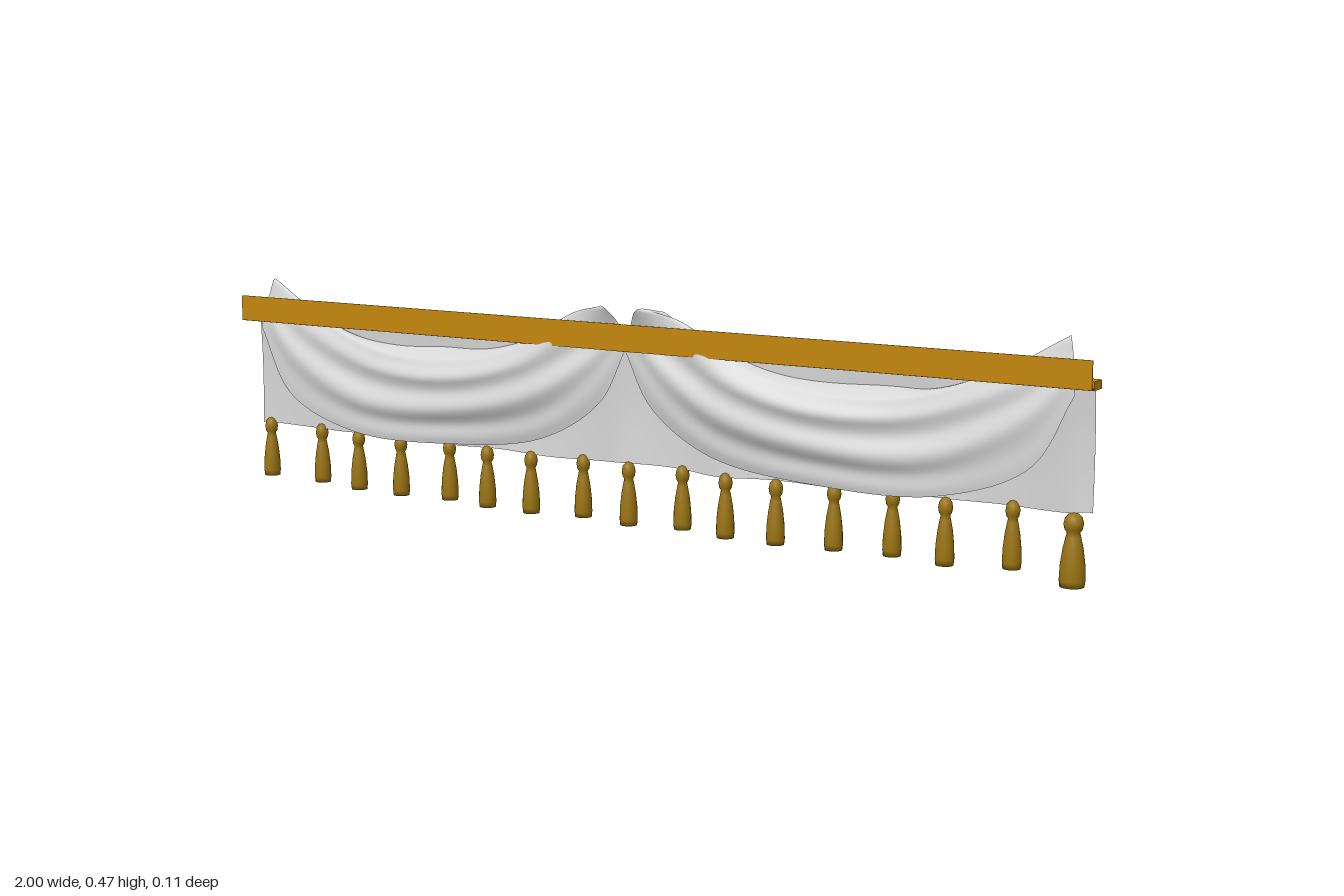
import * as THREE from 'three';

const V = (p) => new THREE.Vector3(...p);
const spline = (pts) => new THREE.CatmullRomCurve3(pts, false, 'centripetal');

// Smooth sheet from a function (u, v) -> Vector3
function sheet(nu, nv, fn) {
  const pos = [], idx = [];
  for (let j = 0; j <= nv; j++)
    for (let i = 0; i <= nu; i++) pos.push(...fn(i / nu, j / nv).toArray());
  for (let j = 0; j < nv; j++)
    for (let i = 0; i < nu; i++) {
      const a = j * (nu + 1) + i, b = a + 1, c = a + nu + 1, d = c + 1;
      idx.push(a, b, d, a, d, c);
    }
  const g = new THREE.BufferGeometry();
  g.setAttribute('position', new THREE.Float32BufferAttribute(pos, 3));
  g.setIndex(idx);
  g.computeVertexNormals();
  return g;
}

// Swag cross rows, hem first, running from the centre to the outer end
const SWAG_ROWS = [
  [[0, .375, .02], [.06, .265, .02], [.2, .178, .025], [.45, .145, .032], [.7, .15, .028], [.88, .22, .02], [.96, .36, .015]],
  [[.008, .40, .02], [.09, .32, .032], [.22, .245, .04], [.45, .205, .042], [.68, .215, .035], [.86, .30, .025], [.957, .40, .012]],
  [[.015, .43, .022], [.1, .385, .024], [.24, .315, .044], [.43, .275, .047], [.65, .285, .03], [.84, .36, .015], [.95, .43, 0]],
  [[.04, .463, .038], [.12, .445, .024], [.26, .365, .027], [.42, .325, .03], [.62, .33, .02], [.82, .40, 0], [.94, .467, -.01]],
  [[.08, .457, 0], [.16, .41, -.01], [.28, .372, -.02], [.42, .35, -.018], [.6, .35, -.03], [.8, .343, -.048], [.93, .43, -.032]],
];

function swagGeometry(side) {
  const rows = SWAG_ROWS.map((r) => spline(r.map(V)));
  const cache = new Map();
  return sheet(56, 48, (u, v) => {
    if (!cache.has(u)) cache.set(u, spline(rows.map((r) => r.getPoint(u))));
    const p = cache.get(u).getPoint(v);
    // soft folds following the drape
    const env = Math.sin(Math.PI * u) * Math.sin(Math.PI * Math.min(1, v / 0.75));
    p.z += 0.007 * env * Math.sin(v * 22 + u * 2.5);
    p.x *= side;
    return p;
  });
}

export function createModel() {
  const model = new THREE.Group();
  const mat = (name, color, side = THREE.FrontSide) => {
    const m = new THREE.MeshStandardMaterial({ color, side });
    m.name = name;
    return m;
  };
  const cloth = mat('lightGreyCloth', 0xd6d6d6, THREE.DoubleSide);
  const wood = mat('goldenRail', 0xc4860c);
  const gold = mat('darkGoldTassel', 0x9a7410);
  const add = (name, geo, material, x = 0, y = 0, z = 0) => {
    const m = new THREE.Mesh(geo, material);
    m.name = name;
    m.position.set(x, y, z);
    model.add(m);
    return m;
  };

  // Rail: thin fascia board, shelf and the strip joining them
  add('fasciaBoard', new THREE.BoxGeometry(2, 0.055, 0.002), wood, 0, 0.4025, 0.033);
  add('railShelf', new THREE.BoxGeometry(2, 0.017, 0.037), wood, 0, 0.3815, 0.0045);
  add('railStrip', new THREE.BoxGeometry(2, 0.002, 0.011), wood, 0, 0.377, 0.0275);

  // Tassel places along the hem: x, z
  const tasselX = [-.965, -.835, -.71, -.59, -.47, -.355, -.24, -.125, 0, .115, .23, .345, .465, .585, .705, .825, .955];
  const tasselZ = [-.015, -.035, -.008, -.003, -.018, .004, .008, -.016, .006, -.016, .01, .012, -.004, -.016, .004, -.035, -.012];

  // Rippled back panel passing through the tassel places
  const path = spline([V([-.985, 0, -.012]), ...tasselX.map((x, i) => V([x, 0, tasselZ[i]])), V([.99, 0, -.016])]);
  add('backPanel', sheet(160, 14, (u, v) => {
    const p = path.getPoint(u);
    p.y = 0.138 + 0.247 * v + 0.004 * (1 - v) * Math.sin(u * 40);
    p.z = p.z * (1 - 0.45 * v) - 0.004 * Math.sin(Math.PI * v) - 0.003 * v;
    return p;
  }), cloth);

  // Pair of draped swags
  for (const side of [1, -1])
    add(side > 0 ? 'leftSwag' : 'rightSwag', swagGeometry(side), cloth);

  // Tassels: round head, tied neck and flared skirt
  const profile = [[0, 0], [.02, 0], [.0215, .012], [.0205, .04], [.017, .068], [.0125, .09], [.0105, .098],
    [.0145, .104], [.0165, .114], [.014, .125], [.008, .132], [0, .134]];
  const tassel = new THREE.LatheGeometry(profile.map((p) => new THREE.Vector2(...p)), 18);
  tasselX.forEach((x, i) => {
    const last = i === tasselX.length - 1;
    const t = add('tassel', tassel, gold, x, last ? 0 : i === 0 ? 0.02 : 0.014, tasselZ[i]);
    const w = last ? 1.15 : 0.86;
    t.scale.set(w, last ? 1.04 : 0.98, w);
  });
  return model;
}
